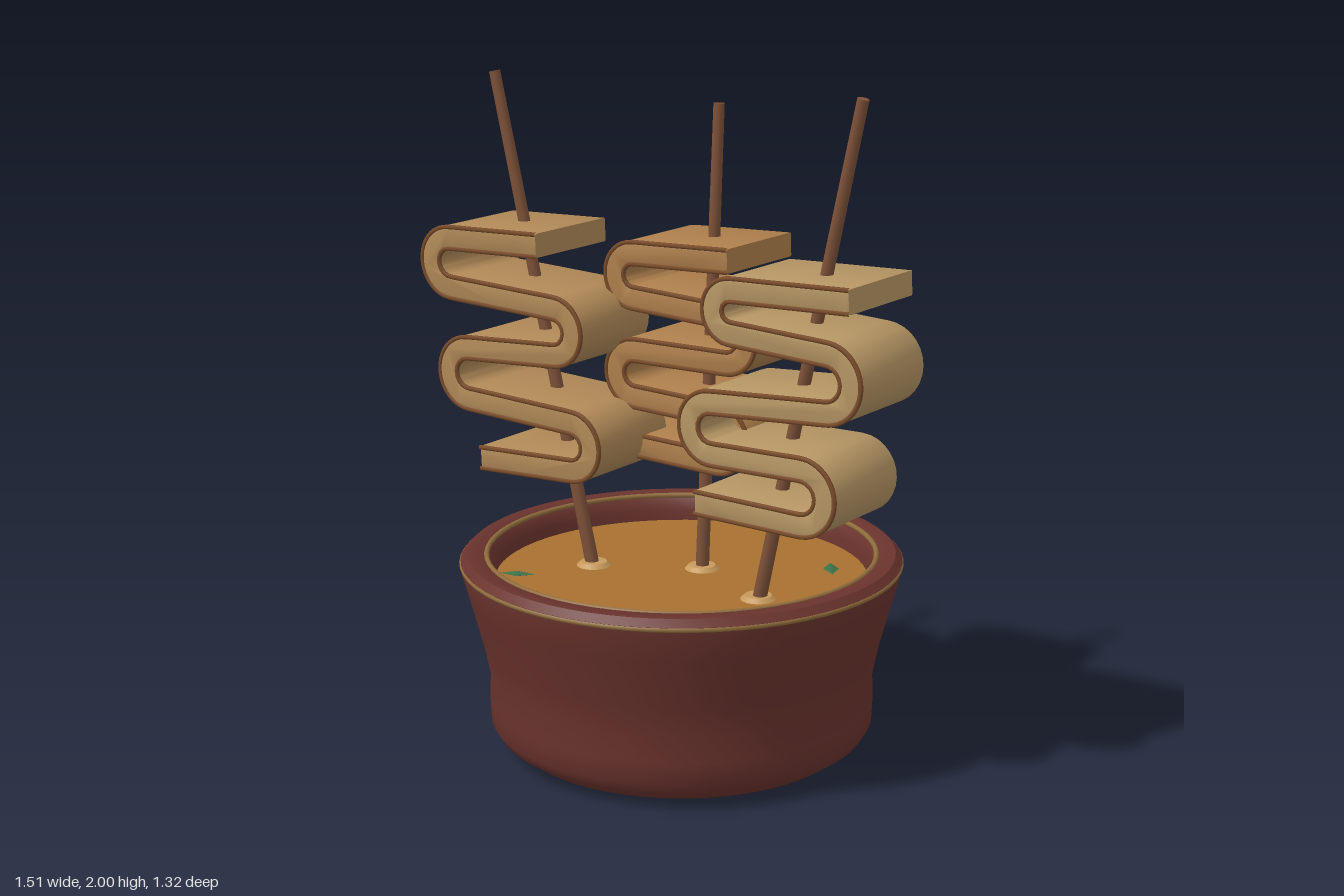
import * as THREE from 'three';
import { toCreasedNormals } from 'three/addons/utils/BufferGeometryUtils.js';

const V3 = (x, y, z) => new THREE.Vector3(x, y, z);
const mat = (color) => new THREE.MeshStandardMaterial({ color });

function addMesh(parent, name, geometry, material) {
  const mesh = new THREE.Mesh(geometry, material);
  mesh.name = name;
  parent.add(mesh);
  return mesh;
}

// Serpentine centreline: straight runs joined by round bends
function foldedPath(runs) {
  const pts = [];
  runs.forEach(([x0, y0, x1, y1], i) => {
    for (let k = 0; k <= 4; k++) {
      pts.push(new THREE.Vector2(x0 + (x1 - x0) * k / 4, y0 + (y1 - y0) * k / 4));
    }
    const next = runs[i + 1];
    if (!next) return;
    const a = new THREE.Vector2(x1, y1), b = new THREE.Vector2(next[0], next[1]);
    const mid = a.clone().add(b).multiplyScalar(0.5);
    const half = a.clone().sub(mid);
    const side = Math.sign(x1 - x0);
    for (let k = 1; k < 14; k++) {
      const t = Math.PI * k / 14;
      pts.push(new THREE.Vector2(
        mid.x + half.x * Math.cos(t) + side * half.length() * Math.sin(t),
        mid.y + half.y * Math.cos(t)));
    }
  });
  return pts;
}

// Shift a polyline sideways by d along its normals
function offsetPath(pts, d) {
  return pts.map((p, i) => {
    const a = pts[Math.max(i - 1, 0)], b = pts[Math.min(i + 1, pts.length - 1)];
    const t = b.clone().sub(a).normalize();
    return new THREE.Vector2(p.x - t.y * d, p.y + t.x * d);
  });
}

const HALF = 0.035, DEPTH = 0.335, BEVEL = 0.01;

function foldedSheet(name, runs, zMid, color, edgeMat) {
  const group = new THREE.Group();
  group.name = name;
  const path = foldedPath(runs);
  const outline = [...offsetPath(path, HALF), ...offsetPath(path, -HALF).reverse()];
  const sheet = new THREE.ExtrudeGeometry(new THREE.Shape(outline), {
    depth: DEPTH - 2 * BEVEL, bevelEnabled: true, bevelThickness: BEVEL,
    bevelSize: BEVEL, bevelOffset: -BEVEL, bevelSegments: 2,
  });
  sheet.translate(0, 0, zMid - DEPTH / 2 + BEVEL);
  addMesh(group, 'sheet', toCreasedNormals(sheet, 0.7), mat(color));
  // Browned lines along both front edges
  for (const d of [HALF - 0.003, -HALF + 0.003]) {
    const line = offsetPath(path, d).map((p) => V3(p.x, p.y, zMid + DEPTH / 2 - 0.003));
    const curve = new THREE.CatmullRomCurve3(line, false, 'centripetal');
    addMesh(group, 'brownedEdge', new THREE.TubeGeometry(curve, 160, 0.007, 6), edgeMat);
  }
  return group;
}

export function createModel() {
  const model = new THREE.Group();
  model.name = 'skewerBowl';
  const goldMat = mat(0x8f6c3c), skewerMat = mat(0x7d5138);
  const edgeMat = mat(0x7a4c2a), foamMat = mat(0xc79a5c), leafMat = mat(0x3c7048);

  // Bowl
  const profile = [[0, 0], [0.46, 0], [0.5, 0.015], [0.55, 0.05], [0.572, 0.085], [0.575, 0.15],
    [0.572, 0.23], [0.59, 0.32], [0.63, 0.47], [0.655, 0.56], [0.655, 0.58], [0.635, 0.6],
    [0.59, 0.6], [0.57, 0.585], [0.557, 0.55], [0.55, 0.48]].map(([x, y]) => new THREE.Vector2(x, y));
  addMesh(model, 'bowl', toCreasedNormals(new THREE.LatheGeometry(profile, 64), 0.75), mat(0x6a332d));

  // Gold lines around the rim
  for (const [r, y] of [[0.651, 0.573], [0.578, 0.595]]) {
    const ring = addMesh(model, 'rimLine', new THREE.TorusGeometry(r, 0.008, 8, 64), goldMat);
    ring.rotation.x = Math.PI / 2;
    ring.position.y = y;
  }

  // Broth
  const broth = addMesh(model, 'broth', new THREE.CircleGeometry(0.556, 64), mat(0xa8702f));
  broth.rotation.x = -Math.PI / 2;
  broth.position.y = 0.52;

  // Skewers, each with a small ring of foam where it enters the broth
  const skewers = [
    [V3(-0.268, 0.5, 0.08), V3(-0.6, 1.985, 0.105)],
    [V3(0.017, 0.5, -0.082), V3(0.045, 1.915, -0.122)],
    [V3(0.312, 0.5, 0.055), V3(0.655, 1.995, 0.083)],
  ];
  for (const [a, b] of skewers) {
    const dir = b.clone().sub(a);
    const stick = addMesh(model, 'skewer', new THREE.CylinderGeometry(0.017, 0.021, dir.length(), 10), skewerMat);
    stick.position.copy(a).addScaledVector(dir, 0.5);
    stick.quaternion.setFromUnitVectors(V3(0, 1, 0), dir.normalize());
    const foam = addMesh(model, 'foam', new THREE.CylinderGeometry(0.04, 0.052, 0.012, 20), foamMat);
    foam.position.set(a.x, 0.526, a.z);
  }

  // Folded sheets, listed as straight runs from top to bottom
  model.add(foldedSheet('leftHandSheet', [
    [-0.315, 1.52, -0.645, 1.508], [-0.64, 1.36, -0.26, 1.345], [-0.26, 1.205, -0.58, 1.185],
    [-0.58, 1.03, -0.2, 1.015], [-0.2, 0.87, -0.54, 0.855],
  ], 0.11, 0xb08957, edgeMat));
  model.add(foldedSheet('middleSheet', [
    [0.205, 1.5, -0.13, 1.487], [-0.13, 1.355, 0.2, 1.34], [0.2, 1.205, -0.125, 1.2],
    [-0.125, 1.06, 0.17, 1.05], [0.17, 0.905, -0.18, 0.915],
  ], -0.102, 0xae7f4c, edgeMat));
  model.add(foldedSheet('rightHandSheet', [
    [0.715, 1.475, 0.33, 1.462], [0.33, 1.34, 0.64, 1.325], [0.64, 1.16, 0.265, 1.135],
    [0.265, 0.985, 0.565, 0.99], [0.565, 0.83, 0.21, 0.835],
  ], 0.067, 0xb69664, edgeMat));

  // Herb leaves floating on the broth
  for (const [x, z, turn] of [[0.347, -0.283, -0.95], [-0.385, 0.3, 0.46]]) {
    const leaf = addMesh(model, 'leaf', new THREE.OctahedronGeometry(1), leafMat);
    leaf.scale.set(0.055, 0.008, 0.024);
    leaf.rotation.y = turn;
    leaf.position.set(x, 0.528, z);
  }
  return model;
}
